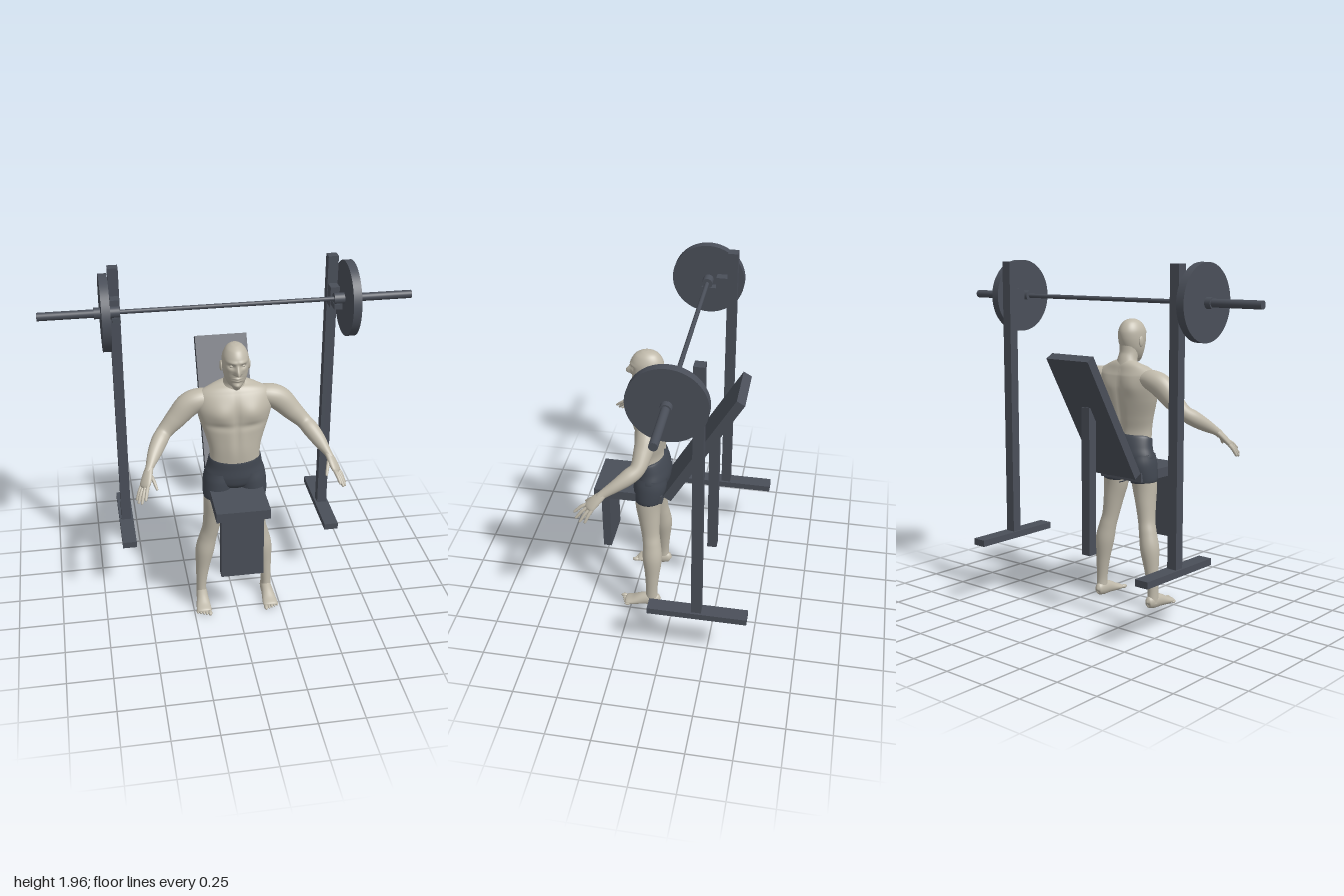
import * as THREE from 'three';

const mat = (name, color) => {
  const m = new THREE.MeshStandardMaterial({ color });
  m.name = name;
  return m;
};

// Smooth loft through stations [x, y, z, halfWidth, halfDepth]; ref orients the sections.
function loft(stations, { ref = [0, 0, 1], seg = 28, rows = 40, warp } = {}) {
  const curve = new THREE.CatmullRomCurve3(stations.map(s => new THREE.Vector3(s[0], s[1], s[2])), false, 'catmullrom');
  const radii = new THREE.CatmullRomCurve3(stations.map(s => new THREE.Vector3(s[3], s[4], 0)), false, 'catmullrom');
  const r = new THREE.Vector3(...ref), pos = [], idx = [];
  for (let i = 0; i <= rows; i++) {
    const c = curve.getPoint(i / rows), t = curve.getTangent(i / rows), q = radii.getPoint(i / rows);
    const u = r.clone().cross(t).normalize(), v = t.clone().cross(u);
    for (let j = 0; j < seg; j++) {
      const a = j / seg * Math.PI * 2;
      const p = c.clone().addScaledVector(u, Math.max(q.x, 0.0005) * Math.cos(a))
        .addScaledVector(v, Math.max(q.y, 0.0005) * Math.sin(a));
      if (warp) warp(p);
      pos.push(p.x, p.y, p.z);
      if (i < rows) {
        const k = i * seg + j, n = i * seg + (j + 1) % seg;
        idx.push(k, n, k + seg, n, n + seg, k + seg);
      }
    }
  }
  const g = new THREE.BufferGeometry();
  g.setAttribute('position', new THREE.Float32BufferAttribute(pos, 3));
  g.setIndex(idx);
  g.computeVertexNormals();
  return g;
}

const bump = (d, w) => Math.exp(-(d * d) / (w * w));
const ramp = (a, b, v) => THREE.MathUtils.smoothstep(v, a, b);

// Face relief: nose, brow, eye sockets, lips and chin
function faceWarp(p) {
  if (p.z < 0.19) return;
  const x = Math.abs(p.x), y = p.y;
  const front = ramp(0.19, 0.225, p.z);
  const slope = y > 1.502 ? 1 - ramp(1.502, 1.56, y) : ramp(1.487, 1.502, y);
  p.z += front * (0.034 * bump(x, 0.007 + 0.007 * slope) * slope
    - 0.013 * bump(x - 0.031, 0.016) * bump(y - 1.542, 0.012)
    + 0.006 * bump(x - 0.028, 0.028) * bump(y - 1.565, 0.01)
    + 0.008 * bump(x, 0.02) * (bump(y - 1.472, 0.006) + bump(y - 1.459, 0.006))
    + 0.008 * bump(x, 0.022) * bump(y - 1.428, 0.012));
}

// Torso relief: chest, breastbone, belly, shoulder blades and spine
function torsoWarp(p) {
  const x = Math.abs(p.x), y = p.y;
  if (p.z > 0.14) {
    const f = ramp(0.14, 0.19, p.z);
    p.z += f * (0.018 * bump(x - 0.085, 0.065) * bump(y - 1.255, 0.055)
      - 0.008 * bump(x, 0.014) * bump(y - 1.22, 0.12)
      - 0.007 * bump(x - 0.08, 0.08) * bump(y - 1.18, 0.02)
      + 0.004 * bump(x - 0.035, 0.025) * bump(y - 1.08, 0.09));
  } else {
    const b = ramp(0, 0.05, 0.13 - p.z);
    p.z += b * (0.014 * bump(x, 0.02) * bump(y - 1.15, 0.16)
      - 0.01 * bump(x - 0.09, 0.05) * bump(y - 1.28, 0.06));
  }
}

export function createModel() {
  const model = new THREE.Group();
  model.name = 'athleteAtBench';
  const skin = mat('skin', 0xbfb9aa), cloth = mat('shorts', 0x424852), steel = mat('darkSteel', 0x4a4f59);

  const add = (name, geo, m, x = 0, y = 0, z = 0, parent = model) => {
    const mesh = new THREE.Mesh(geo, m);
    mesh.name = name;
    mesh.position.set(x, y, z);
    parent.add(mesh);
    return mesh;
  };
  // Box given by its limits
  const box = (name, x0, x1, y0, y1, z0, z1) =>
    add(name, new THREE.BoxGeometry(x1 - x0, y1 - y0, z1 - z0), steel, (x0 + x1) / 2, (y0 + y1) / 2, (z0 + z1) / 2);
  const ball = (name, x, y, z, sx, sy, sz, parent) => {
    const b = add(name, new THREE.SphereGeometry(1, 16, 12), skin, x, y, z, parent);
    b.scale.set(sx, sy, sz);
    return b;
  };

  // Bench
  box('seat', -0.147, 0.147, 0.735, 0.79, 0.07, 0.46);
  box('frontSupport', -0.117, 0.117, 0.355, 0.735, 0.38, 0.427);
  box('rearSupport', -0.028, 0.028, 0.355, 1.18, -0.23, -0.175);
  const back = add('backrest', new THREE.BoxGeometry(0.294, 0.79, 0.052), steel, 0, 1.118, -0.155);
  back.rotation.x = -Math.PI / 6;

  // Rack and barbell
  const barY = 1.757, barZ = -0.06;
  const rod = (name, x0, x1, r, seg = 32) => {
    const c = add(name, new THREE.CylinderGeometry(r, r, Math.abs(x1 - x0), seg), steel, (x0 + x1) / 2, barY, barZ);
    c.rotation.z = Math.PI / 2;
  };
  rod('bar', -0.62, 0.62, 0.012);
  for (const s of [-1, 1]) {
    const c = s * 0.592;
    box('upright', c - 0.028, c + 0.028, 0.36, 1.953, -0.23, -0.175);
    box('rackFoot', c - 0.04, c + 0.04, 0.355, 0.392, -0.48, 0.068);
    box('hookPlate', c - 0.025, c + 0.025, 1.685, 1.8, -0.176, -0.112);
    box('hookArm', c - 0.022, c + 0.022, 1.705, 1.735, -0.12, -0.03);
    rod('sleeve', s * 0.6, s * 1, 0.022);
    rod('innerCollar', s * 0.572, s * 0.63, 0.03);
    rod('weightPlate', s * 0.628, s * 0.673, 0.203, 64);
    rod('outerCollar', s * 0.673, s * 0.707, 0.03);
  }

  // Figure
  const figure = new THREE.Group();
  figure.name = 'figure';
  model.add(figure);
  const part = (name, geo, m = skin) => add(name, geo, m, 0, 0, 0, figure);

  part('head', loft([
    [0, 1.64, 0.166, 0.001, 0.001], [0, 1.634, 0.166, 0.027, 0.035], [0, 1.615, 0.166, 0.05, 0.065],
    [0, 1.58, 0.167, 0.067, 0.086], [0, 1.54, 0.169, 0.071, 0.09], [0, 1.5, 0.174, 0.068, 0.083],
    [0, 1.465, 0.184, 0.06, 0.069], [0, 1.435, 0.196, 0.046, 0.052], [0, 1.415, 0.205, 0.028, 0.035],
    [0, 1.41, 0.2, 0.001, 0.001]], { seg: 96, rows: 120, warp: faceWarp }));
  part('neck', loft([[0, 1.52, 0.14, 0.052, 0.05], [0, 1.45, 0.138, 0.053, 0.052],
    [0, 1.4, 0.126, 0.062, 0.056], [0, 1.34, 0.12, 0.1, 0.065]], { rows: 20 }));
  part('torso', loft([
    [0, 1.415, 0.11, 0.05, 0.03], [0, 1.385, 0.112, 0.125, 0.052], [0, 1.345, 0.122, 0.195, 0.075],
    [0, 1.28, 0.135, 0.206, 0.092], [0, 1.2, 0.142, 0.19, 0.094], [0, 1.1, 0.152, 0.158, 0.088],
    [0, 1.02, 0.159, 0.139, 0.084], [0, 0.93, 0.155, 0.139, 0.083]], { seg: 72, rows: 80, warp: torsoWarp }));
  part('shortsWaist', loft([
    [0, 0.978, 0.158, 0.134, 0.078], [0, 0.974, 0.157, 0.143, 0.087], [0, 0.92, 0.147, 0.153, 0.096],
    [0, 0.86, 0.143, 0.169, 0.1], [0, 0.81, 0.147, 0.145, 0.088], [0, 0.775, 0.15, 0.05, 0.05],
    [0, 0.77, 0.15, 0.001, 0.001]], { seg: 48 }), cloth);

  // Knuckle and tip of each finger, thumb last
  const fingers = [
    [[0.497, 0.968, 0.405], [0.518, 0.922, 0.475]], [[0.511, 0.957, 0.4], [0.538, 0.896, 0.463]],
    [[0.523, 0.95, 0.388], [0.554, 0.885, 0.438]], [[0.53, 0.952, 0.372], [0.56, 0.888, 0.408]],
    [[0.478, 1.005, 0.352], [0.45, 0.95, 0.425]]];

  for (const s of [-1, 1]) {
    const flip = list => list.map(([x, ...rest]) => [s * x, ...rest]);
    const limb = (name, list, opt, m) => part(name, loft(flip(list), opt), m);

    ball('ear', s * 0.074, 1.515, 0.158, 0.008, 0.03, 0.018, figure);
    ball('eye', s * 0.03, 1.541, 0.234, 0.012, 0.009, 0.01, figure);

    limb('arm', [
      [0.11, 1.315, 0.12, 0.045, 0.05], [0.19, 1.307, 0.12, 0.06, 0.062], [0.25, 1.277, 0.124, 0.066, 0.06],
      [0.315, 1.21, 0.134, 0.056, 0.052], [0.378, 1.147, 0.152, 0.043, 0.042], [0.413, 1.112, 0.195, 0.044, 0.043],
      [0.447, 1.072, 0.255, 0.037, 0.034], [0.478, 1.033, 0.318, 0.022, 0.024], [0.49, 1.013, 0.34, 0.02, 0.022]],
      { rows: 60 });
    limb('palm', [[0.474, 1.04, 0.31, 0.02, 0.018], [0.486, 1.02, 0.333, 0.027, 0.018],
      [0.5, 0.99, 0.365, 0.034, 0.018], [0.513, 0.962, 0.39, 0.033, 0.014], [0.518, 0.95, 0.398, 0.012, 0.005]],
      { ref: [s * 0.69, 0.71, 0.42], rows: 20 });
    for (const [a, b] of fingers) {
      const at = (t, r, lift = 0) => [...a.map((v, i) => v + (b[i] - v) * t + (i === 1 ? lift : 0)), r, r];
      limb('finger', [at(-0.15, 0.009), at(0.4, 0.0095, 0.006), at(0.85, 0.0075), at(0.97, 0.005), at(1, 0.0005)],
        { seg: 10, rows: 16 });
    }

    limb('shortsLeg', [[0.085, 0.88, 0.143, 0.078, 0.09], [0.092, 0.82, 0.147, 0.084, 0.093],
      [0.1, 0.734, 0.157, 0.078, 0.081], [0.1, 0.729, 0.157, 0.066, 0.068]], {}, cloth);
    limb('leg', [
      [0.097, 0.8, 0.15, 0.074, 0.08], [0.105, 0.7, 0.157, 0.07, 0.073], [0.119, 0.6, 0.15, 0.057, 0.062],
      [0.134, 0.5, 0.141, 0.048, 0.052], [0.15, 0.43, 0.132, 0.05, 0.052], [0.168, 0.34, 0.127, 0.053, 0.056],
      [0.182, 0.22, 0.127, 0.039, 0.042], [0.191, 0.11, 0.13, 0.029, 0.034], [0.192, 0.03, 0.13, 0.03, 0.038]],
      { rows: 60 });
    // Foot with a flat sole
    limb('foot', [[0.188, 0.032, 0.084, 0.002, 0.002], [0.188, 0.034, 0.09, 0.021, 0.028],
      [0.19, 0.04, 0.125, 0.031, 0.042], [0.192, 0.035, 0.18, 0.034, 0.038], [0.194, 0.02, 0.24, 0.041, 0.024],
      [0.194, 0.014, 0.28, 0.041, 0.015], [0.194, 0.012, 0.29, 0.02, 0.006]],
      { ref: [0, 1, 0], warp: p => { p.y = Math.max(p.y, 0.002); } });
    for (let i = 0; i < 5; i++) {
      const r = i ? 0.0085 : 0.012;
      ball('toe', s * (0.164 + i * 0.0165 + (i ? 0.002 : 0)), r, 0.3 - i * 0.007, r, r, i ? 0.017 : 0.022, figure);
    }
  }
  return model;
}
